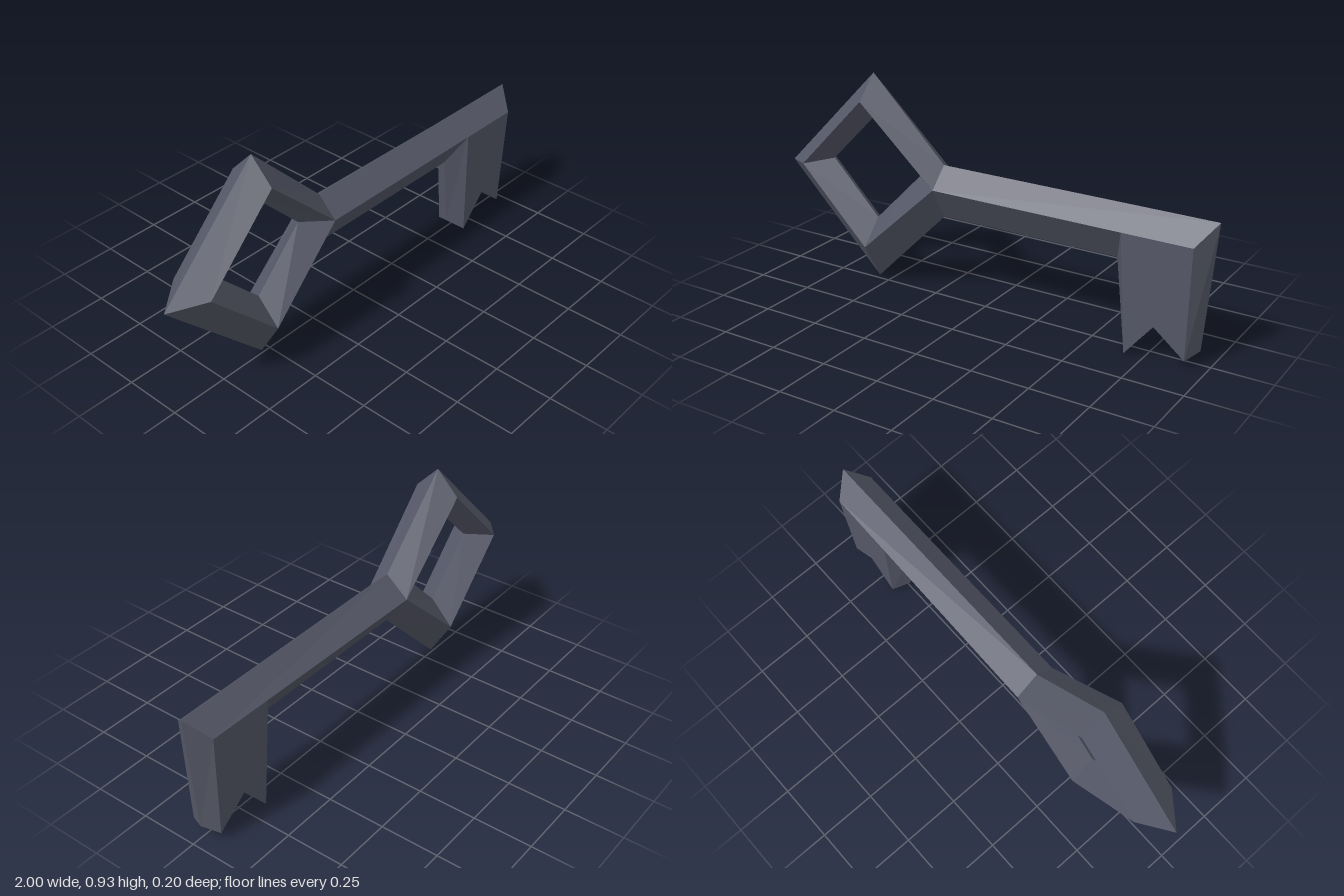
import * as THREE from 'three';

const material = new THREE.MeshStandardMaterial({ color: 0x555867, flatShading: true });

// Skins a run of four-cornered cross-sections with flat quads
function loft(name, sections) {
  const positions = [];
  for (let s = 0; s < sections.length - 1; s++) {
    const a = sections[s], b = sections[s + 1];
    for (let i = 0; i < 4; i++) {
      const j = (i + 1) % 4;
      positions.push(...a[i], ...b[i], ...b[j], ...a[i], ...b[j], ...a[j]);
    }
  }
  const geometry = new THREE.BufferGeometry();
  geometry.setAttribute('position', new THREE.Float32BufferAttribute(positions, 3));
  geometry.computeVertexNormals();
  const mesh = new THREE.Mesh(geometry, material);
  mesh.name = name;
  return mesh;
}

// Bow corner: outer edge, front ridge, inner edge, back ridge
const corner = (outer, ridge, inner) => [
  [...outer, 0], [...ridge, 0.1], [...inner, 0], [...ridge, -0.1],
];

export function createModel() {
  const key = new THREE.Group();
  key.name = 'key';

  // Where bow and shaft meet
  const front = [-0.2, 0.5, 0.085], back = [-0.2, 0.5, -0.1];
  const top = [-0.2, 0.585, 0], bottom = [-0.2, 0.36, 0];
  const inner = [-0.32, 0.515, 0];

  // Diamond bow, open on the right where the shaft joins
  key.add(loft('bow', [
    [top, front, inner, back],
    corner([-0.545, 0.925], [-0.545, 0.823], [-0.545, 0.74]),
    corner([-1, 0.47], [-0.865, 0.5], [-0.77, 0.515]),
    corner([-0.545, 0.015], [-0.545, 0.18], [-0.545, 0.287]),
    [bottom, front, inner, back],
  ]));

  // Rhombic shaft, its lower faces ending inside the bit
  key.add(loft('shaft', [
    [[1, 0.585, 0], [0.935, 0.5, 0.085], [0.595, 0.36, 0], [0.935, 0.5, -0.085]],
    [top, front, bottom, back],
  ]));

  // Notched bit with pointed side edges: [top x, top y, half depth, bottom x, bottom y, half depth]
  const columns = [
    [1, 0.585, 0, 0.955, 0.057, 0],
    [0.935, 0.5, 0.085, 0.92, 0.035, 0.07],
    [0.79, 0.5, 0.085, 0.79, 0.145, 0.074],
    [0.645, 0.5, 0.085, 0.67, 0, 0.07],
    [0.595, 0.36, 0, 0.63, 0.035, 0],
  ];
  key.add(loft('bit', columns.map(([tx, ty, tz, bx, by, bz]) => [
    [tx, ty, -tz], [tx, ty, tz], [bx, by, bz], [bx, by, -bz],
  ])));

  return key;
}
